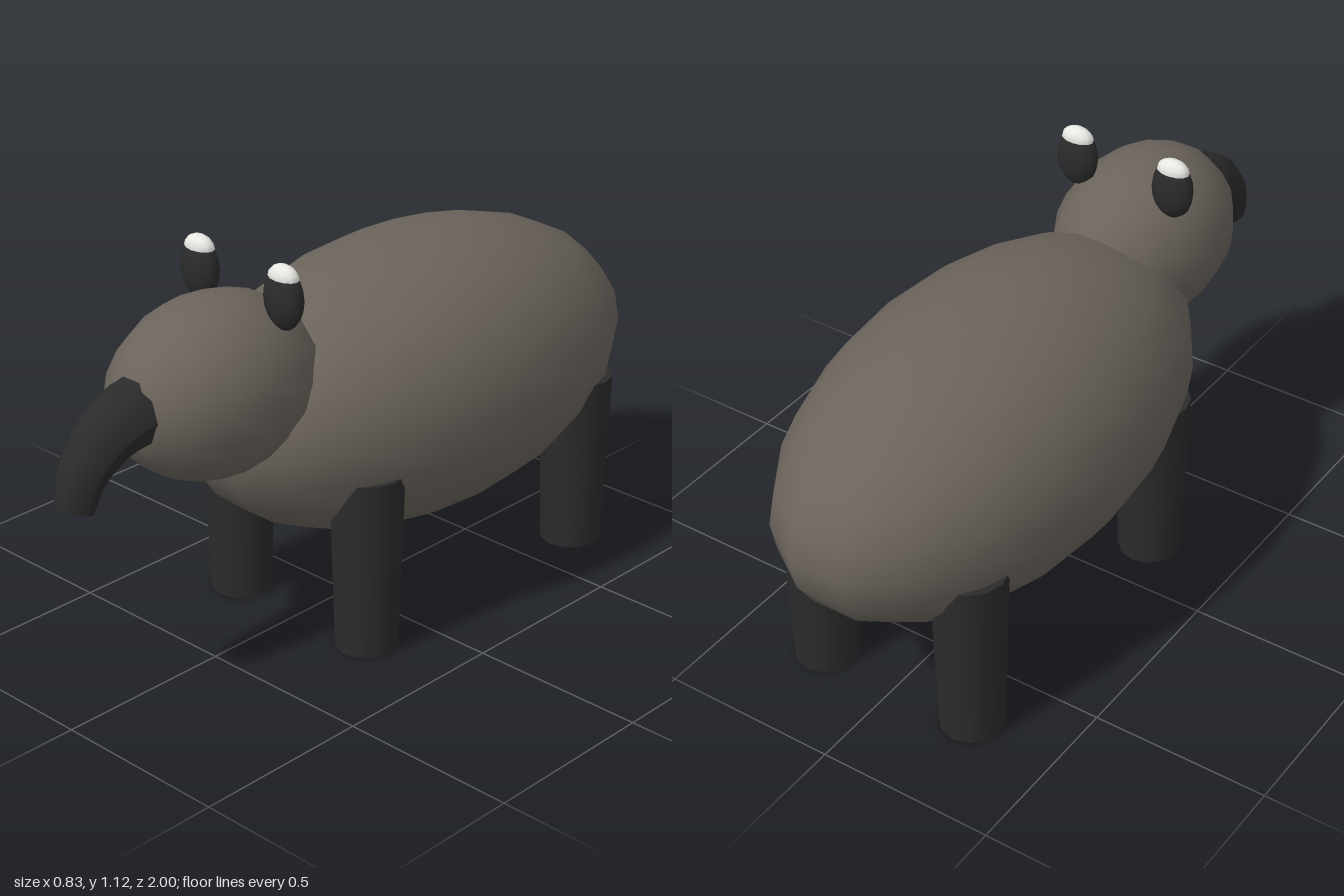
import * as THREE from 'three';

const mat = (name, color) => {
  const m = new THREE.MeshStandardMaterial({ color });
  m.name = name;
  return m;
};

export function createModel() {
  const hide = mat('brown grey hide', 0x6b645c);
  const dark = mat('charcoal', 0x2b2b2b);
  const white = mat('white', 0xe8e8e4);

  const model = new THREE.Group();
  model.name = 'animal';

  const add = (name, geometry, material, x, y, z, parent = model) => {
    const mesh = new THREE.Mesh(geometry, material);
    mesh.name = name;
    mesh.position.set(x, y, z);
    parent.add(mesh);
    return mesh;
  };
  const ellipsoid = (rx, ry, rz, w, h) => new THREE.SphereGeometry(1, w, h).scale(rx, ry, rz);

  // Barrel body and egg-shaped head
  add('body', ellipsoid(0.413, 0.39, 0.76, 18, 14), hide, 0, 0.6, -0.25);
  add('head', ellipsoid(0.228, 0.24, 0.31, 14, 12), hide, 0, 0.786, 0.484);

  // Drooping snout: a tube narrowed towards its tip
  const path = new THREE.CatmullRomCurve3([
    [0.72, 0.8], [0.8, 0.785], [0.865, 0.752], [0.928, 0.685], [0.956, 0.604],
  ].map(([z, y]) => new THREE.Vector3(0, y, z)));
  const rings = 10, sides = 10;
  const tube = new THREE.TubeGeometry(path, rings, 1, sides, false);
  const pos = tube.attributes.position;
  const v = new THREE.Vector3();
  for (let i = 0; i < pos.count; i++) {
    const t = Math.floor(i / (sides + 1)) / rings;
    const centre = path.getPointAt(t);
    v.fromBufferAttribute(pos, i).sub(centre).multiplyScalar(0.098 - 0.047 * t).add(centre);
    pos.setXYZ(i, v.x, v.y, v.z);
  }
  tube.computeVertexNormals();
  add('snout', tube, dark, 0, 0, 0);

  // Flat end of the snout
  const tip = add('snoutTip', new THREE.CircleGeometry(0.051, sides), dark, 0, 0, 0);
  tip.position.copy(path.getPointAt(1));
  tip.quaternion.setFromUnitVectors(new THREE.Vector3(0, 0, 1), path.getTangentAt(1));

  for (const [side, s] of [['left', 1], ['right', -1]]) {
    // Upright oval ear with a pale tip
    const ear = new THREE.Group();
    ear.name = side + 'Ear';
    ear.position.set(s * 0.15, 1.03, 0.38);
    model.add(ear);
    add('earShell', ellipsoid(0.062, 0.085, 0.037, 12, 10), dark, 0, 0, 0, ear);
    add('earTip', ellipsoid(0.048, 0.034, 0.029, 12, 8), white, 0, 0.056, 0, ear);

    // Stout legs, slightly narrower at the foot
    for (const [end, z] of [['Front', 0.17], ['Rear', -0.686]]) {
      add(side + end + 'Leg', new THREE.CylinderGeometry(0.102, 0.087, 0.51, 12),
        dark, s * 0.237, 0.255, z);
    }
  }
  return model;
}
